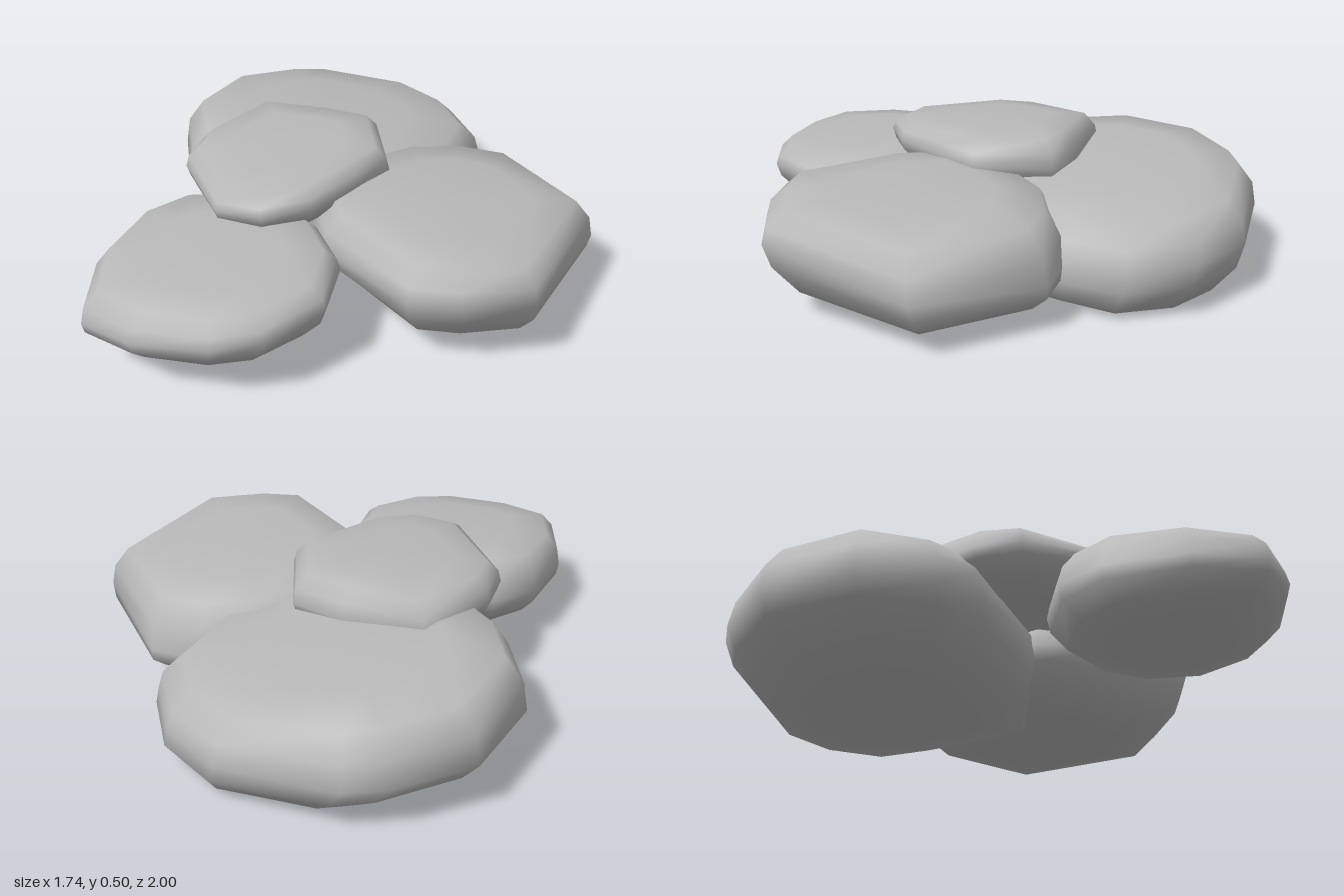
import * as THREE from 'three';

// Rings of a worn stone, bottom to top: [outline scale, level], where level
// -1 is the bottom plane, 0 the widest girth and 1 the top plane
const RINGS = [[0.55, -1], [0.83, -0.86], [0.97, -0.38], [1, 0], [0.97, 0.45], [0.86, 0.86], [0.55, 0.99]];

// Height of a plane [height at the centre, slope in x, slope in z]
const planeHeight = ([h, sx, sz], dx, dz) => h + sx * dx + sz * dz;

// A stone from its outline seen from above [x, z] and its three planes.
// The sole is how far the underside is shifted in x and z.
function stoneGeometry({ centre: [cx, cz], sole, bottom, girth, top, outline }) {
  const n = outline.length, positions = [], index = [];
  const addPoint = (x, z, level) => {
    const under = Math.max(0, -level);
    const dx = x + sole[0] * under, dz = z + sole[1] * under;
    const end = planeHeight(level < 0 ? bottom : top, dx, dz);
    const y = THREE.MathUtils.lerp(planeHeight(girth, dx, dz), end, Math.abs(level));
    positions.push(cx + dx, Math.max(0, y), cz + dz);
  };
  for (const [scale, level] of RINGS) {
    for (const [x, z] of outline) addPoint((x - cx) * scale, (z - cz) * scale, level);
  }
  const low = RINGS.length * n, high = low + 1, last = (RINGS.length - 1) * n;
  addPoint(0, 0, -1);
  addPoint(0, 0, 1);
  for (let i = 0; i < n; i++) {
    const k = (i + 1) % n;
    for (let j = 0; j < last; j += n) {
      index.push(j + i, j + k, j + n + k, j + i, j + n + k, j + n + i);
    }
    index.push(low, k, i, high, last + i, last + k);
  }
  const geometry = new THREE.BufferGeometry();
  geometry.setAttribute('position', new THREE.Float32BufferAttribute(positions, 3));
  geometry.setIndex(index);
  geometry.computeVertexNormals();
  return geometry;
}

export function createModel() {
  const group = new THREE.Group();
  group.name = 'stonePile';
  const stoneGrey = new THREE.MeshStandardMaterial({ color: 0xb9b9b9 });
  stoneGrey.name = 'stoneGrey';
  const addStone = (name, shape) => {
    const mesh = new THREE.Mesh(stoneGeometry(shape), stoneGrey);
    mesh.name = name;
    group.add(mesh);
  };

  // Large stone at the back, dipping under its neighbour
  addStone('backStone', {
    centre: [-0.28, -0.45], sole: [0.1, 0],
    bottom: [0.03, -0.03, 0.055], girth: [0.2, -0.02, 0], top: [0.39, -0.09, 0.03],
    outline: [[-0.62, -0.88], [-0.825, -0.66], [-0.87, -0.32], [-0.74, -0.09], [-0.6, 0.02],
      [-0.05, 0.1], [0.25, 0.02], [0.305, -0.46], [0.305, -0.7], [0.14, -0.9], [-0.09, -1], [-0.5, -0.95]],
  });

  // Stone on the right of the pile, resting on the back one
  addStone('leftStone', {
    centre: [0.4, 0.05], sole: [0, -0.04],
    bottom: [0.07, -0.03, 0.02], girth: [0.23, 0, 0.12], top: [0.4, -0.04, 0.03],
    outline: [[0.48, -0.485], [0.28, -0.47], [0.08, -0.37], [-0.08, -0.15], [-0.15, 0.1], [0, 0.33],
      [0.39, 0.58], [0.56, 0.54], [0.78, 0.41], [0.865, -0.18]],
  });

  // Small stone at the front
  addStone('frontStone', {
    centre: [-0.27, 0.6], sole: [-0.02, 0],
    bottom: [0.112, 0.02, 0.03], girth: [0.25, 0.06, -0.02], top: [0.37, -0.02, -0.07],
    outline: [[-0.67, 0.43], [-0.69, 0.71], [-0.6, 0.945], [-0.39, 0.998], [-0.13, 0.965], [0.02, 0.88],
      [0.145, 0.67], [0.11, 0.44], [-0.03, 0.28], [-0.3, 0.17], [-0.56, 0.27]],
  });

  // Flat stone on top
  addStone('topStone', {
    centre: [-0.25, 0.02], sole: [0, 0],
    bottom: [0.3, 0.02, 0.03], girth: [0.4, 0.03, 0.04], top: [0.5, 0.02, -0.04],
    outline: [[-0.5, -0.31], [-0.62, 0], [-0.61, 0.16], [-0.35, 0.445], [-0.18, 0.445],
      [-0.04, 0.33], [0.05, 0.12], [0.12, -0.05], [-0.01, -0.31], [-0.2, -0.33]],
  });
  return group;
}
